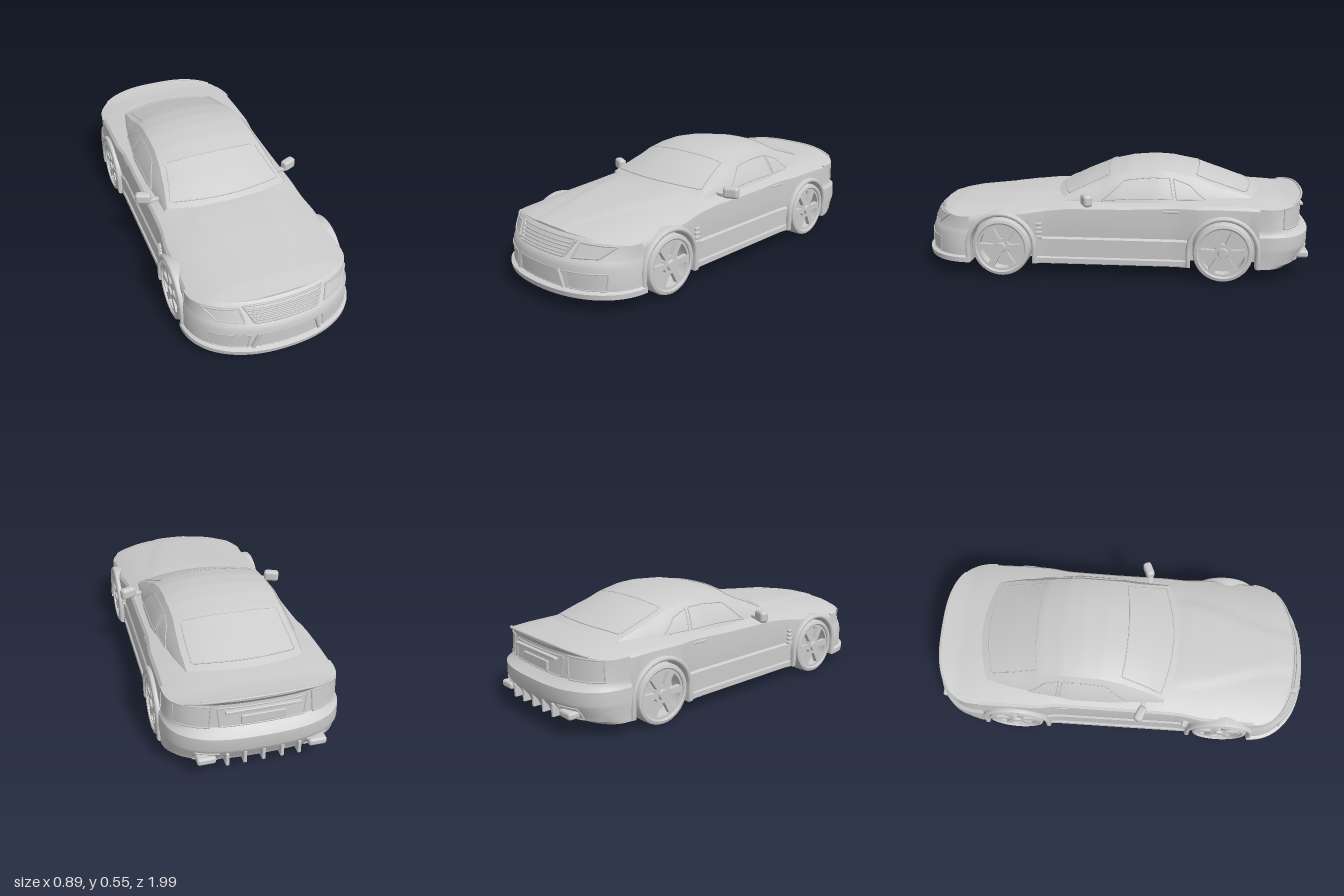
import * as THREE from 'three';
import { toCreasedNormals } from 'three/addons/utils/BufferGeometryUtils.js';
import { RoundedBoxGeometry } from 'three/addons/geometries/RoundedBoxGeometry.js';

const mat = new THREE.MeshStandardMaterial({ color: 0xcccccc, side: THREE.DoubleSide });
const V = (x, y, z) => new THREE.Vector3(x, y, z);
const { lerp, smoothstep, clamp } = THREE.MathUtils;

// Linear lookup in rows sorted by falling or rising first column
function table(rows, k, col = 1) {
  const up = rows[0][0] < rows[rows.length - 1][0];
  const r = up ? rows : [...rows].reverse();
  let i = 0;
  while (i < r.length - 2 && k > r[i + 1][0]) i++;
  const t = clamp((k - r[i][0]) / (r[i + 1][0] - r[i][0] || 1), 0, 1);
  return lerp(r[i][col], r[i + 1][col], t);
}

// Surface from a grid of points f(i, j)
function grid(ni, nj, f, crease = 0.5) {
  const pos = [], idx = [];
  for (let i = 0; i <= ni; i++) for (let j = 0; j <= nj; j++) pos.push(...f(i, j).toArray());
  for (let i = 0; i < ni; i++) for (let j = 0; j < nj; j++) {
    const a = i * (nj + 1) + j, b = a + nj + 1;
    idx.push(a, b, a + 1, b, b + 1, a + 1);
  }
  const g = new THREE.BufferGeometry();
  g.setAttribute('position', new THREE.Float32BufferAttribute(pos, 3));
  g.setIndex(idx);
  return toCreasedNormals(g, crease);
}

// Body rules
const CROWN = [[1, .31], [.9, .325], [.8, .345], [.5, .378], [.3, .395], [.2, .405], [-.6, .41], [-.75, .405], [-.85, .398], [-.93, .402], [-.97, .408]];
const topY = (x, z) => table(CROWN, z) - lerp(.045, .06, smoothstep(z, -.5, 0)) * (Math.abs(x) / .4) ** 3
  + .006 * smoothstep(z, .25, .35) * (1 - smoothstep(Math.abs(x), .25 - .14 * smoothstep(z, .3, .9) - .03, .25 - .14 * smoothstep(z, .3, .9)));
const halfW = z => .385 + .015 * smoothstep(Math.abs(z), .3, .45);
const AXLES = [.54, -.55], ARCH = .165, HUB_Y = .145, FLOOR = .065;
function archY(z) {
  for (const a of AXLES) if (Math.abs(z - a) < ARCH - 1e-4) return HUB_Y + Math.sqrt(ARCH ** 2 - (z - a) ** 2);
  return FLOOR;
}

// Bumper wraps: rows of [y, end z, half width], swept round in plan
const FRONT = { zb: .7, p: .92, rows: [[.065, .7, .425], [.066, .995, .425], [.09, 1, .425], [.098, .976, .412], [.2, .977, .41], [.225, .966, .402], [.235, .955, .4], [.305, .918, .4], [.32, .9, .4]] };
const REAR = { zb: -.72, p: .75, rows: [[.065, -.72, .41], [.066, -.9, .41], [.085, -.945, .41], [.11, -.955, .41], [.15, -.985, .415], [.165, -.99, .415], [.225, -.99, .412], [.24, -.965, .402], [.26, -.945, .4], [.37, -.935, .4], [.395, -.955, .4]] };
function wrap({ zb, p, rows }) {
  const last = rows[rows.length - 1], n = 10;
  const all = [...rows];
  for (let k = 0; k <= n; k++) all.push([9, lerp(last[1], zb, k / n), .4]);
  return grid(all.length - 1, 48, (i, j) => {
    const [y, zf, w] = all[i], a = Math.PI * j / 48, c = Math.cos(a);
    const x = w * Math.sign(c) * Math.abs(c) ** p, z = zb + (zf - zb) * Math.abs(Math.sin(a)) ** p;
    return V(x, Math.min(y, topY(x, z)), z);
  });
}
// Point on a bumper wrap at x, y, pushed out by off
const onWrap = ({ zb, p, rows }) => (x, y, off = 0) => {
  const zf = table(rows, y), w = table(rows, y, 2), n = 2 / p;
  return V(x, y, zb + (zf - zb) * Math.max(0, 1 - (Math.abs(x) / w) ** n) ** (1 / n) + off * Math.sign(zb));
};

// Cabin rule: s runs front to back, t runs side to side
const ROOF = [[.3, .395], [.16, .463], [.03, .517], [-.08, .541], [-.2, .55], [-.3, .545], [-.42, .523], [-.58, .467], [-.74, .406]];
const BELT = [[.3, .33], [0, .355], [-.25, .36], [-.45, .34], [-.6, .32], [-.74, .29]];
function cabin(s, t, off = 0) {
  const zc = lerp(.3, -.74, s), H = table(ROOF, zc), bw = table(BELT, zc), rw = bw - .5 * (H - .37);
  const a = Math.abs(t), crown = .032 * clamp((H - .37) / .12, 0, 1);
  let x, y;
  if (a < .7) { x = rw * a / .7; y = H - crown * (a / .7) ** 2.5 + off; }
  else { const k = (a - .7) / .3; x = lerp(rw, bw, k) + .008 * Math.sin(k * Math.PI) + off; y = lerp(H - crown, .345, k); }
  return V(x * Math.sign(t), y, zc - .06 * (x / .3) ** 2 * (zc + .2) / .5);
}

export function createModel() {
  const car = new THREE.Group();
  const add = (name, geo, parent = car) => {
    const m = new THREE.Mesh(geo, mat);
    m.name = name;
    parent.add(m);
    return m;
  };
  const box = (name, w, h, d, x, y, z, r = .004) => {
    const m = add(name, new RoundedBoxGeometry(w, h, d, 2, r));
    m.position.set(x, y, z);
    return m;
  };
  // Four-cornered panel laid on a surface rule, with a raised border
  const panel = (name, surf, c, off = .003, r = .003) => {
    const at = (u, v) => surf(lerp(lerp(c[0][0], c[1][0], u), lerp(c[3][0], c[2][0], u), v), lerp(lerp(c[0][1], c[1][1], u), lerp(c[3][1], c[2][1], u), v), off);
    add(name, grid(12, 12, (i, j) => at(i / 12, j / 12)));
    const pts = [];
    for (let e = 0; e < 4; e++) for (let k = 0; k < 8; k++) {
      const q = k / 8;
      pts.push(at(...[[q, 0], [1, q], [1 - q, 1], [0, 1 - q]][e]));
    }
    add(name + 'Border', new THREE.TubeGeometry(new THREE.CatmullRomCurve3(pts, true, 'catmullrom', .2), 96, r, 5, true));
  };
  const strip = (name, surf, a, b, off, r) => {
    const pts = Array.from({ length: 13 }, (_, k) => surf(lerp(a[0], b[0], k / 12), lerp(a[1], b[1], k / 12), off));
    add(name, new THREE.TubeGeometry(new THREE.CatmullRomCurve3(pts), 24, r, 6));
  };

  // Middle body with wheel wells
  const zs = [];
  for (let k = 0; k <= 40; k++) zs.push(lerp(.7, -.72, k / 40));
  for (const a of AXLES) {
    for (let k = 0; k <= 24; k++) zs.push(a + (ARCH - 2e-4) * Math.cos(Math.PI * k / 24));
    zs.push(a + ARCH, a - ARCH);
  }
  const stations = zs.filter(z => z <= .7 && z >= -.72).sort((p, q) => q - p);
  const section = z => {
    const w = halfW(z), b = archY(z), e = topY(w - .012, z), half = [];
    for (let k = 0; k <= 16; k++) { const x = (w - .012) * k / 16; half.push([x, topY(x, z)]); }
    for (const [dx, y] of [[0, e - .015], [.004, .27], [0, .2], [.008, .19], [.008, .1], [.012, .094], [.012, FLOOR]]) half.push([w + dx, Math.max(y, b)]);
    half.push([.285, b], [.285, FLOOR], [0, FLOOR]);
    return [...half.slice(1).reverse().map(([x, y]) => [-x, y]), ...half];
  };
  const sections = stations.map(section);
  add('body', grid(stations.length - 1, sections[0].length - 1, (i, j) => V(...sections[i][j], stations[i])));
  add('frontBumperAndHood', wrap(FRONT));
  add('rearBumperAndDeck', wrap(REAR));

  // Cabin and glass
  add('cabin', grid(52, 60, (i, j) => cabin(i / 52, j / 30 - 1), .6));
  panel('windshield', cabin, [[.035, -.66], [.035, .66], [.26, .62], [.26, -.62]], .002);
  panel('rearWindow', cabin, [[.71, -.62], [.71, .62], [.96, .62], [.96, -.62]], .002);
  for (const s of [1, -1]) {
    panel('sideWindow', cabin, [[.2, .92 * s], [.6, .92 * s], [.575, .75 * s], [.33, .76 * s]]);
    panel('quarterWindow', cabin, [[.62, .92 * s], [.78, .9 * s], [.68, .78 * s], [.595, .75 * s]]);
  }

  // Nose: grille, lights and intakes
  const nose = onWrap(FRONT), tail = onWrap(REAR);
  panel('grille', nose, [[-.155, .235], [.155, .235], [.185, .308], [-.185, .308]], .004, .005);
  for (let k = 1; k < 5; k++) {
    const y = .235 + k * .0145, x = .155 + k * .006;
    strip('grilleBar', nose, [-x, y], [x, y], .009, .0045);
  }
  panel('centreIntake', nose, [[-.13, .102], [.13, .102], [.155, .178], [-.155, .178]], .002, .002);
  for (const s of [1, -1]) {
    panel('headlight', nose, [[.195 * s, .238], [.31 * s, .245], [.362 * s, .296], [.215 * s, .302]], .005, .005);
    panel('sideIntake', nose, [[.19 * s, .102], [.345 * s, .102], [.35 * s, .178], [.178 * s, .178]], .003);
    strip('bumperPillar', nose, [.165 * s, .1], [.14 * s, .18], .003, .01);
    strip('bumperPillar', nose, [.15 * s, .235], [.192 * s, .31], .004, .007);
  }

  // Tail: lights, plate, diffuser and exhausts
  panel('plateRecess', tail, [[-.19, .265], [.19, .265], [.2, .355], [-.2, .355]], .003, .004);
  box('numberPlate', .2, .045, .012, 0, .295, -.948);
  box('trunkTrim', .34, .014, .02, 0, .342, -.946);
  for (const s of [1, -1]) {
    panel('tailLight', tail, [[.235 * s, .262], [.375 * s, .262], [.372 * s, .36], [.225 * s, .365]], .005, .004);
    box('exhaust', .085, .035, .06, .255 * s, .115, -.945, .012);
    panel('exhaustSurround', tail, [[.2 * s, .09], [.305 * s, .09], [.3 * s, .145], [.2 * s, .145]], .004, .004);
  }
  for (const x of [-.165, -.085, 0, .085, .165]) box('diffuserFin', .016, .065, .06, x, .112, -.95);

  // Trunk lip spoiler
  const lip = Array.from({ length: 21 }, (_, k) => tail(lerp(-.33, .33, k / 20), .392, 0)).map(p => V(p.x, topY(p.x, p.z), p.z));
  add('spoilerLip', new THREE.TubeGeometry(new THREE.CatmullRomCurve3(lip), 40, .006, 6));

  // Wheel parts, facing +z before turning outward
  const tyre = new THREE.LatheGeometry([[.04, -.06], [.125, -.06], [.14, -.056], [.145, -.045], [.145, .045], [.14, .056], [.126, .06], [.119, .056], [.114, -.02], [0, -.02]].map(([r, y]) => new THREE.Vector2(r, y)), 48);
  tyre.rotateX(Math.PI / 2);
  const tyreGeo = toCreasedNormals(tyre, .6);
  const rimShape = new THREE.Shape().absarc(0, 0, .12, 0, Math.PI * 2);
  for (let k = 0; k < 6; k++) {
    const a = Math.PI / 6 + k * Math.PI / 3, h = new THREE.Path();
    h.absarc(0, 0, .108, a - .36, a + .36);
    h.absarc(0, 0, .043, a + .2, a - .2, true);
    h.closePath();
    rimShape.holes.push(h);
  }
  const rimGeo = new THREE.ExtrudeGeometry(rimShape, { depth: .022, bevelEnabled: false, curveSegments: 24 });
  const hubGeo = new THREE.CylinderGeometry(.022, .028, .014, 24).rotateX(Math.PI / 2);

  // Wheel arch flare outline
  const flare = new THREE.Shape();
  flare.moveTo(-.175, .07).lineTo(-.175, HUB_Y);
  flare.absarc(0, HUB_Y, .175, Math.PI, 0, true);
  flare.lineTo(.175, .07).lineTo(.16, .07).lineTo(.16, HUB_Y);
  flare.absarc(0, HUB_Y, .16, 0, Math.PI, false);
  flare.lineTo(-.16, .07);
  const flareGeo = toCreasedNormals(new THREE.ExtrudeGeometry(flare, { depth: .06, bevelThickness: .012, bevelSize: .01, bevelOffset: -.006, bevelSegments: 3, curveSegments: 28 }), .6);

  for (const s of [1, -1]) {
    for (const z of AXLES) {
      const wheel = new THREE.Group();
      wheel.name = z > 0 ? 'frontWheel' : 'rearWheel';
      wheel.position.set(.362 * s, HUB_Y, z);
      wheel.rotation.y = s * Math.PI / 2;
      add('tyre', tyreGeo, wheel);
      add('rim', rimGeo, wheel).position.z = .028;
      add('hub', hubGeo, wheel).position.z = .052;
      car.add(wheel);
      const f = add('archFlare', flareGeo);
      f.position.set(.352 * s, 0, z);
      f.rotation.y = s * Math.PI / 2;
    }
    // Mirrors, vents, handles and skirts
    const m = box('mirror', .08, .058, .045, .404 * s, .391, .112, .016);
    m.rotation.y = s * .4;
    box('mirrorArm', .06, .018, .025, .355 * s, .375, .125);
    for (let k = 0; k < 4; k++) box('sideVent', .02, .012, .03, .397 * s, .2 + k * .022, .35);
    box('doorHandle', .012, .012, .09, .383 * s, .335, -.3);
    box('sideSkirt', .03, .03, .71, .387 * s, .081, -.005);
  }
  return car;
}
